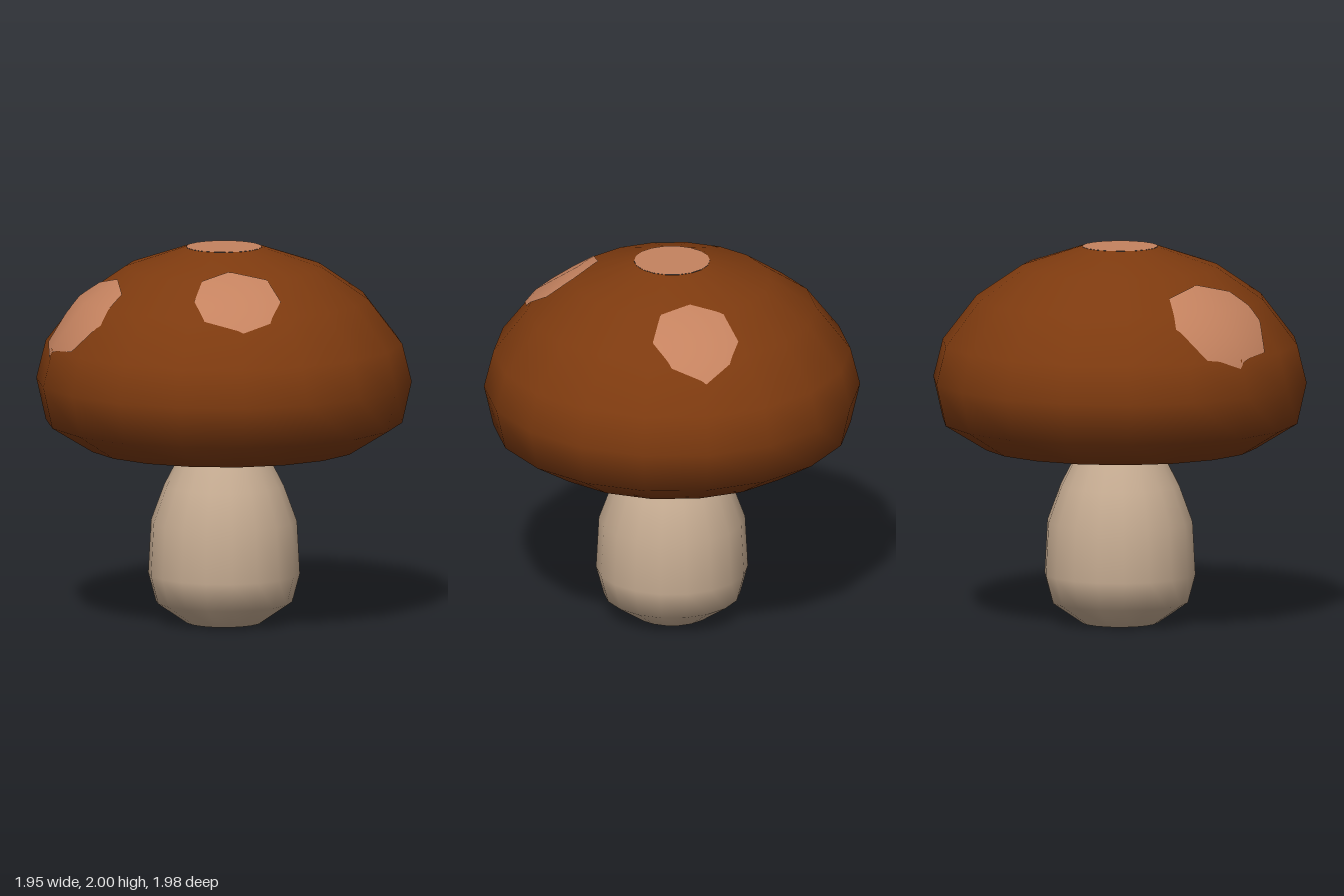
import * as THREE from 'three';

const SIDES = 18;
const STEP = (Math.PI * 2) / SIDES;

// Outlines as [radius, height], bottom to top
const CAP = [[0, 0.872], [0.24, 0.875], [0.72, 0.935], [0.94, 1.07], [0.99, 1.29], [0.94, 1.49], [0.76, 1.725], [0.52, 1.89], [0.2, 1.998]];
const STEM = [[0.2, 0], [0.36, 0.11], [0.4, 0.26], [0.385, 0.54], [0.315, 0.73], [0.24, 0.875], [0.2, 0.95]];

// Spot outlines as [x, z], clockwise from above
const SPOTS = {
  backSpot: [[0.19, -0.5], [0.24, -0.64], [0.36, -0.68], [0.52, -0.65], [0.6, -0.48], [0.57, -0.33], [0.43, -0.27], [0.27, -0.34]],
  frontSpot: [[0.01, 0.52], [0.12, 0.4], [0.33, 0.4], [0.43, 0.5], [0.41, 0.65], [0.29, 0.755], [0.08, 0.755], [0, 0.65]],
  sideSpot: [[-0.8, 0.12], [-0.64, 0.12], [-0.5, 0.3], [-0.43, 0.49], [-0.51, 0.635], [-0.67, 0.625], [-0.83, 0.46], [-0.88, 0.27]],
};

const material = (name, color) => Object.assign(new THREE.MeshStandardMaterial({ color }), { name });

function addMesh(group, name, geometry, mat) {
  const mesh = new THREE.Mesh(geometry, mat);
  mesh.name = name;
  group.add(mesh);
  return mesh;
}

const lathe = (profile) =>
  new THREE.LatheGeometry(profile.map(([r, y]) => new THREE.Vector2(r, y)), SIDES);

// Height of the faceted upper cap above a point on the ground plane
function capHeight(x, z) {
  const angle = Math.atan2(x, z);
  const local = angle - (Math.floor(angle / STEP) + 0.5) * STEP;
  const r = (Math.hypot(x, z) * Math.cos(local)) / Math.cos(STEP / 2);
  for (let i = CAP.length - 1; i > 4; i--) {
    const [r1, y1] = CAP[i];
    const [r0, y0] = CAP[i - 1];
    if (r <= r0) return y1 + ((y0 - y1) * (r - r1)) / (r0 - r1);
  }
  return CAP[4][1];
}

// A thin patch that follows the cap inside the given outline
function spotGeometry(outline) {
  const rings = 14, sub = 8, n = outline.length * sub;
  const cx = outline.reduce((s, p) => s + p[0], 0) / outline.length;
  const cz = outline.reduce((s, p) => s + p[1], 0) / outline.length;
  const positions = [], normals = [], index = [];
  for (let k = 0; k <= rings; k++) {
    for (let j = 0; j < n; j++) {
      const a = outline[Math.floor(j / sub)];
      const b = outline[(Math.floor(j / sub) + 1) % outline.length];
      const f = (j % sub) / sub, t = k / rings;
      const x = cx + (a[0] + (b[0] - a[0]) * f - cx) * t;
      const z = cz + (a[1] + (b[1] - a[1]) * f - cz) * t;
      const y = capHeight(x, z);
      const normal = new THREE.Vector3(x, (y - 1.25) / 0.56, z).normalize();
      positions.push(x + normal.x * 0.005, y + normal.y * 0.005, z + normal.z * 0.005);
      normals.push(normal.x, normal.y, normal.z);
      if (k === rings) continue;
      const p = k * n + j, q = k * n + ((j + 1) % n);
      index.push(p, q + n, p + n);
      if (k > 0) index.push(p, q, q + n);
    }
  }
  const geometry = new THREE.BufferGeometry();
  geometry.setAttribute('position', new THREE.Float32BufferAttribute(positions, 3));
  geometry.setAttribute('normal', new THREE.Float32BufferAttribute(normals, 3));
  geometry.setIndex(index);
  return geometry;
}

export function createModel() {
  const group = new THREE.Group();
  group.name = 'mushroom';
  const brown = material('cap brown', 0x7d3a0f);
  const tan = material('spot tan', 0xc4825f);
  const cream = material('stem cream', 0xc6ac92);

  // Stem with a flat foot
  addMesh(group, 'stem', lathe(STEM), cream);
  const foot = addMesh(group, 'stemFoot', new THREE.CircleGeometry(0.2, SIDES, Math.PI / 2), cream);
  foot.rotation.x = Math.PI / 2;

  // Cap, closed at the top by a flat round spot
  addMesh(group, 'cap', lathe(CAP), brown);
  const topSpot = addMesh(group, 'topSpot', new THREE.CircleGeometry(0.2, SIDES, Math.PI / 2), tan);
  topSpot.rotation.x = -Math.PI / 2;
  topSpot.position.y = 1.999;

  // Spots lying on the cap
  for (const [name, outline] of Object.entries(SPOTS)) addMesh(group, name, spotGeometry(outline), tan);

  return group;
}
